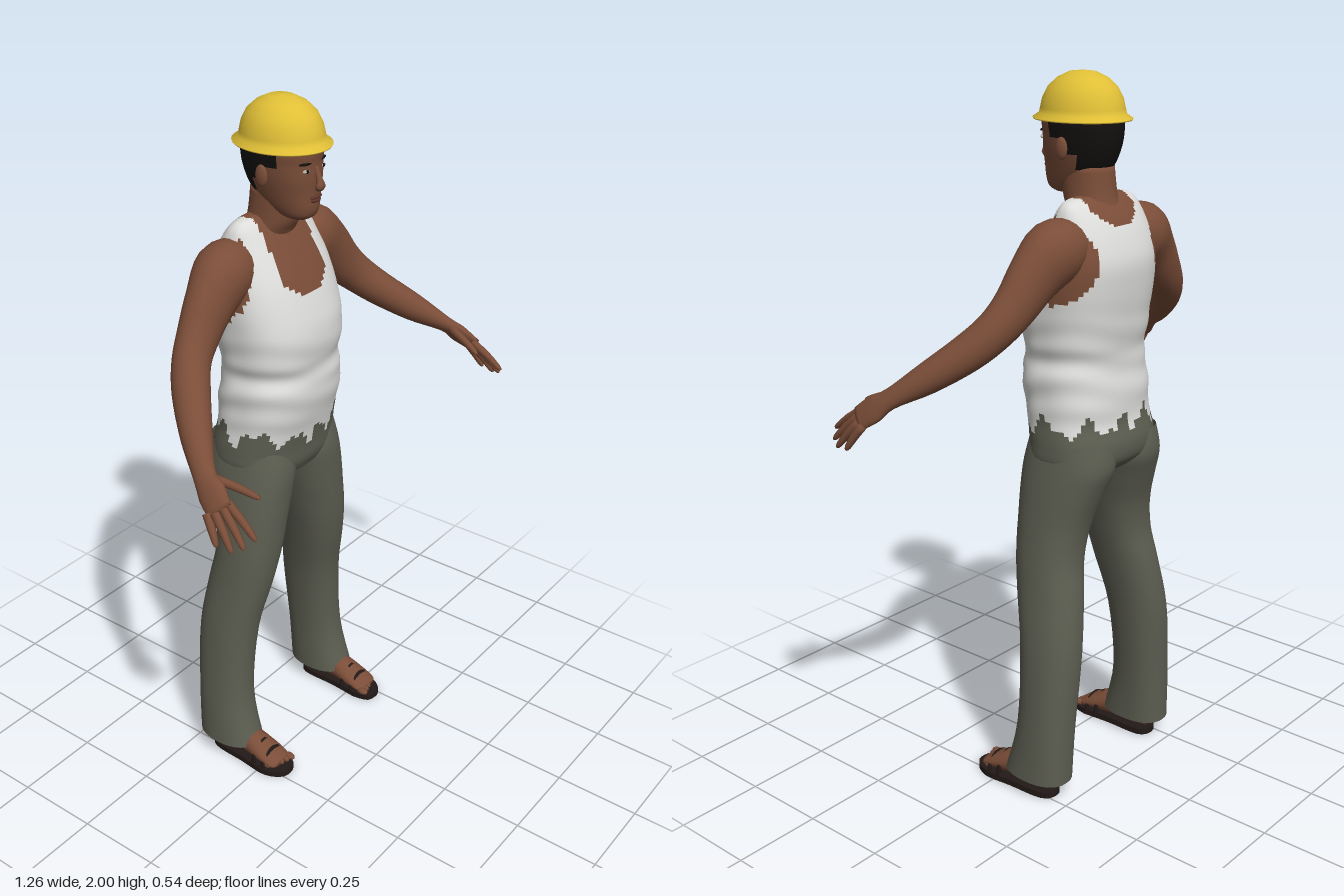
import * as THREE from 'three';

const mat = (name, color, side = THREE.FrontSide) => {
  const m = new THREE.MeshStandardMaterial({ color, side });
  m.name = name;
  return m;
};
const skin = mat('skin', 0x7a4d38);
const shirt = mat('shirt white', 0xdcdcda);
const cloth = mat('trouser grey green', 0x5d5e51, THREE.DoubleSide);
const yellow = mat('helmet yellow', 0xe0bf36, THREE.DoubleSide);
const black = mat('hair black', 0x12100f);
const soleMat = mat('sandal dark brown', 0x231a18);
const lip = mat('lip brown', 0x5e3329);
const eyeWhite = mat('eye white', 0xb9aea6);

// Resample rows of numbers with a Catmull-Rom curve.
function smooth(rows, steps) {
  const out = [], last = rows.length - 1;
  for (let i = 0; i < last; i++) {
    const p = [i - 1, i, i + 1, i + 2].map(k => rows[Math.min(Math.max(k, 0), last)]);
    for (let s = 0; s < steps; s++) {
      const t = s / steps;
      out.push(p[1].map((b, k) => {
        const a = p[0][k], c = p[2][k], d = p[3][k];
        return b + 0.5 * t * (c - a + t * (2 * a - 5 * b + 4 * c - d + t * (3 * (b - c) + d - a)));
      }));
    }
  }
  out.push(rows[last]);
  return out;
}

// Skin closed rings; pick(point) chooses a material for each quad.
function loft(name, rings, mats, { pick = () => 0, caps = true } = {}) {
  const list = [].concat(mats), n = rings[0].length, pos = [], faces = list.map(() => []);
  const put = (a, b, c, mid) => faces[pick(mid)].push(a, b, c);
  rings.forEach(r => r.forEach(v => pos.push(v.x, v.y, v.z)));
  for (let i = 0; i < rings.length - 1; i++) for (let j = 0; j < n; j++) {
    const k = (j + 1) % n, a = i * n + j, b = i * n + k, c = b + n, d = a + n;
    const mid = rings[i][j].clone().add(rings[i + 1][k]).multiplyScalar(0.5);
    put(a, b, c, mid);
    put(a, c, d, mid);
  }
  if (caps) [0, rings.length - 1].forEach(i => {
    const mid = rings[i].reduce((s, v) => s.add(v), new THREE.Vector3()).divideScalar(n);
    const c = pos.length / 3;
    pos.push(mid.x, mid.y, mid.z);
    for (let j = 0; j < n; j++) {
      const a = i * n + j, b = i * n + (j + 1) % n;
      i ? put(a, b, c, rings[i][j]) : put(b, a, c, rings[i][j]);
    }
  });
  const g = new THREE.BufferGeometry();
  g.setAttribute('position', new THREE.Float32BufferAttribute(pos, 3));
  g.setIndex(faces.flat());
  let start = 0;
  faces.forEach((f, i) => { g.addGroup(start, f.length, i); start += f.length; });
  g.computeVertexNormals();
  const m = new THREE.Mesh(g, list.length > 1 ? list : list[0]);
  m.name = name;
  return m;
}

// Horizontal sections [y, half width, front z, back z, centre x], lowest first.
function levels(rows, n, steps, power = 0.9, bulge = () => 0) {
  const pw = v => Math.sign(v) * Math.abs(v) ** power;
  return smooth(rows, steps).map(([y, hx, zf, zb, cx = 0]) => Array.from({ length: n }, (_, j) => {
    const t = j / n * Math.PI * 2, k = 1 + bulge(y, t);
    return new THREE.Vector3(cx + hx * k * pw(Math.sin(t)), y,
      (zf + zb) / 2 + (zf - zb) / 2 * k * pw(Math.cos(t)));
  }));
}

// Elliptical sections [x, y, z, a, b] along a path.
function along(rows, n, steps, up = new THREE.Vector3(0, 0, 1)) {
  const r = smooth(rows, steps), c = r.map(v => new THREE.Vector3(v[0], v[1], v[2]));
  return r.map((v, i) => {
    const d = c[Math.min(i + 1, c.length - 1)].clone().sub(c[Math.max(i - 1, 0)]).normalize();
    const s = d.clone().cross(up).normalize(), u = s.clone().cross(d);
    return Array.from({ length: n }, (_, j) => {
      const t = j / n * Math.PI * 2;
      return c[i].clone().addScaledVector(s, v[3] * Math.sin(t)).addScaledVector(u, v[4] * Math.cos(t));
    });
  });
}

function ball(name, m, [x, y, z], [sx, sy, sz]) {
  const b = new THREE.Mesh(new THREE.SphereGeometry(1, 14, 10).scale(sx, sy, sz), m);
  b.position.set(x, y, z);
  b.name = name;
  return b;
}

// Vest, bare skin and trouser waist on one torso.
function torso() {
  const rows = [[0.945, 0.15, -0.02, -0.23], [0.98, 0.192, -0.005, -0.265], [1.03, 0.194, 0, -0.272],
    [1.09, 0.187, 0.01, -0.257], [1.15, 0.185, 0.025, -0.257], [1.22, 0.184, 0.032, -0.247],
    [1.265, 0.174, 0.024, -0.243], [1.31, 0.181, 0.033, -0.25], [1.38, 0.187, 0.034, -0.258],
    [1.45, 0.19, 0.015, -0.266], [1.52, 0.186, -0.012, -0.268], [1.58, 0.175, -0.045, -0.25],
    [1.63, 0.157, -0.075, -0.225], [1.665, 0.142, -0.098, -0.198], [1.682, 0.118, -0.115, -0.175],
    [1.688, 0.07, -0.125, -0.165]];
  const folds = (y, t) => y < 1.06 || y > 1.42 ? 0
    : 0.014 * Math.sin((y - 1.06) / 0.36 * Math.PI) * Math.sin(75 * y + 2.2 * Math.sin(2 * t + 0.6));
  const pick = ({ x, y, z }) => {
    const ax = Math.abs(x), front = z > -0.13, a = Math.atan2(x, z + 0.12);
    const hem = 1.085 + 0.022 * Math.sin(a * 9) + 0.015 * Math.sin(a * 17 + 1) - (front && ax < 0.1 ? 0.025 : 0);
    if (y < hem) return 2;
    const scoop = front ? 1.48 : 1.61;
    if (y > scoop && ax < Math.min(0.088, 0.1 * Math.sqrt((y - scoop) / 0.06))) return 1;
    const hole = front ? 0.2 - 0.3 * (y - 1.42) : 0.115 + 5 * (y - 1.54) ** 2;
    if (y > 1.41 && ax > Math.max(hole, front ? 0.143 : 0)) return 1;
    return 0;
  };
  return loft('torso', levels(rows, 72, 6, 0.82, folds), [shirt, skin, cloth], { pick });
}

function head() {
  const g = new THREE.Group();
  g.name = 'head';
  g.add(loft('neck', levels([[1.57, 0.09, -0.09, -0.23], [1.63, 0.076, -0.078, -0.215],
    [1.68, 0.066, -0.052, -0.195], [1.76, 0.062, -0.04, -0.185]], 28, 4), skin));
  const rows = [[1.685, 0.025, -0.015, -0.07], [1.697, 0.044, 0.004, -0.1], [1.72, 0.058, 0.013, -0.15],
    [1.76, 0.071, 0.015, -0.185], [1.8, 0.081, 0.018, -0.203], [1.84, 0.087, 0.017, -0.211],
    [1.88, 0.089, 0.018, -0.208], [1.93, 0.07, -0.01, -0.18]];
  // Hair covers the back, the sides above the ears and the nape.
  const pick = ({ y, z }) => (y > 1.83 && z < -0.045) || (y > 1.79 && z < -0.1) || (y > 1.745 && z < -0.13) ? 1 : 0;
  g.add(loft('face and hair', levels(rows, 48, 6, 0.93), [skin, black], { pick }));
  g.add(loft('nose', along([[0, 1.832, 0.012, 0.006, 0.006], [0, 1.8, 0.024, 0.009, 0.009],
    [0, 1.782, 0.028, 0.016, 0.011], [0, 1.774, 0.02, 0.01, 0.008]], 12, 3), skin));
  g.add(ball('upper lip', lip, [0, 1.752, 0.014], [0.024, 0.005, 0.008]));
  g.add(ball('lower lip', lip, [0, 1.743, 0.013], [0.02, 0.006, 0.008]));
  for (const s of [1, -1]) {
    g.add(ball('eye', eyeWhite, [s * 0.034, 1.826, 0.008], [0.013, 0.005, 0.006]));
    g.add(ball('pupil', black, [s * 0.034, 1.826, 0.012], [0.005, 0.005, 0.004]));
    const brow = ball('eyebrow', black, [s * 0.036, 1.845, 0.007], [0.02, 0.004, 0.006]);
    brow.rotation.y = s * 0.3;
    g.add(brow);
    g.add(ball('ear', skin, [s * 0.087, 1.808, -0.095], [0.01, 0.03, 0.019]));
  }
  return g;
}

function helmet() {
  const profile = [[0.094, 1.883], [0.116, 1.876], [0.118, 1.88], [0.103, 1.891], [0.1, 1.905], [0.095, 1.93],
    [0.082, 1.958], [0.06, 1.981], [0.032, 1.996], [0.0001, 2]].map(p => new THREE.Vector2(...p));
  const h = new THREE.Mesh(new THREE.LatheGeometry(profile, 40).scale(1, 1, 1.18), yellow);
  h.position.z = -0.095;
  h.name = 'helmet';
  return h;
}

function arm(s) {
  const g = new THREE.Group();
  g.name = s > 0 ? 'leftArm' : 'rightArm';
  const flip = rows => rows.map(([x, ...r]) => [s * x, ...r]);
  g.add(loft('arm and palm', along(flip([[0.11, 1.57, -0.155, 0.065, 0.065], [0.18, 1.56, -0.15, 0.086, 0.08],
    [0.25, 1.505, -0.14, 0.077, 0.062], [0.31, 1.44, -0.13, 0.064, 0.053], [0.365, 1.385, -0.11, 0.055, 0.05],
    [0.42, 1.33, -0.065, 0.049, 0.05], [0.49, 1.265, 0.01, 0.04, 0.042], [0.55, 1.21, 0.085, 0.022, 0.031],
    [0.57, 1.18, 0.125, 0.019, 0.04], [0.588, 1.15, 0.165, 0.012, 0.036]]), 24, 4), skin));
  // Root and tip of the thumb and each finger.
  const fingers = [[0.545, 1.205, 0.105, 0.505, 1.168, 0.225], [0.567, 1.168, 0.172, 0.577, 1.1, 0.268],
    [0.58, 1.157, 0.168, 0.6, 1.078, 0.25], [0.595, 1.145, 0.155, 0.615, 1.066, 0.222],
    [0.602, 1.14, 0.135, 0.622, 1.07, 0.18]];
  for (const [x, y, z, u, v, w] of fingers) {
    const rows = [[0, 0.012], [0.5, 0.011], [0.9, 0.008], [1, 0.003]].map(([t, r]) =>
      [x + (u - x) * t, y + (v - y) * t + 0.016 * t * (1 - t), z + (w - z) * t, r, r]);
    g.add(loft('finger', along(flip(rows), 8, 2), skin));
  }
  return g;
}

function leg(s) {
  const g = new THREE.Group();
  g.name = s > 0 ? 'leftLeg' : 'rightLeg';
  // Trouser leg: height, inner x, outer x, front z, back z.
  const rows = [[0.06, 0.158, 0.301, -0.032, -0.238], [0.22, 0.153, 0.291, -0.07, -0.24],
    [0.44, 0.127, 0.273, -0.064, -0.244], [0.6, 0.094, 0.25, -0.033, -0.227], [0.7, 0.07, 0.238, -0.018, -0.21],
    [0.8, 0.045, 0.225, -0.01, -0.218], [0.9, 0.018, 0.212, -0.004, -0.25], [0.97, 0.001, 0.2, -0.004, -0.272],
    [1.04, 0.01, 0.185, -0.02, -0.262]];
  g.add(loft('trouser leg', levels(rows.map(([y, a, b, f, k]) => [y, (b - a) / 2, f, k, s * (a + b) / 2]),
    32, 4, 0.88, (y, t) => y < 0.8 ? 0.01 * Math.sin(3 * t + 9 * y) : 0), cloth, { caps: false }));
  const up = new THREE.Vector3(0, 1, 0), x = s * 0.227;
  g.add(loft('foot', along([[x, 0.05, -0.19, 0.025, 0.028], [x, 0.065, -0.13, 0.037, 0.046],
    [x, 0.06, -0.06, 0.04, 0.04], [x, 0.046, 0, 0.045, 0.027], [x, 0.033, 0.045, 0.043, 0.014],
    [x, 0.03, 0.058, 0.03, 0.009]], 20, 4, up), skin));
  g.add(loft('ankle', levels([[0.04, 0.036, -0.09, -0.185, x], [0.22, 0.04, -0.1, -0.19, x]], 16, 2), skin));
  for (let i = 0; i < 5; i++) g.add(ball('toe', skin,
    [x + s * (i * 0.018 - 0.035), 0.03, 0.06 - i * i * 0.0018], [i ? 0.0085 : 0.012, 0.01, i ? 0.014 : 0.019]));
  // Sandal sole and straps.
  const outline = [[-0.045, 0.03], [-0.03, 0.08], [0.02, 0.084], [0.052, 0.03], [0.046, -0.06], [0.038, -0.17],
    [0, -0.196], [-0.036, -0.17], [-0.038, -0.06]].map(([a, b]) => new THREE.Vector2(s * a, -b));
  const pts = new THREE.SplineCurve([...outline, outline[0]]).getPoints(36);
  const sole = new THREE.Mesh(new THREE.ExtrudeGeometry(new THREE.Shape(pts), { depth: 0.018, bevelEnabled: false })
    .rotateX(-Math.PI / 2), soleMat);
  sole.position.x = x;
  sole.name = 'sandal sole';
  g.add(sole);
  for (const [z, h] of [[0.02, 0.048], [-0.015, 0.063]]) {
    const strap = new THREE.Mesh(new THREE.TorusGeometry(1, 0.08, 6, 20, Math.PI).scale(0.047, h, 0.09), soleMat);
    strap.position.set(x, 0.016, z);
    strap.name = 'sandal strap';
    g.add(strap);
  }
  return g;
}

export function createModel() {
  const model = new THREE.Group();
  model.name = 'worker';
  model.add(torso(), head(), helmet());
  for (const s of [1, -1]) model.add(arm(s), leg(s));
  return model;
}
